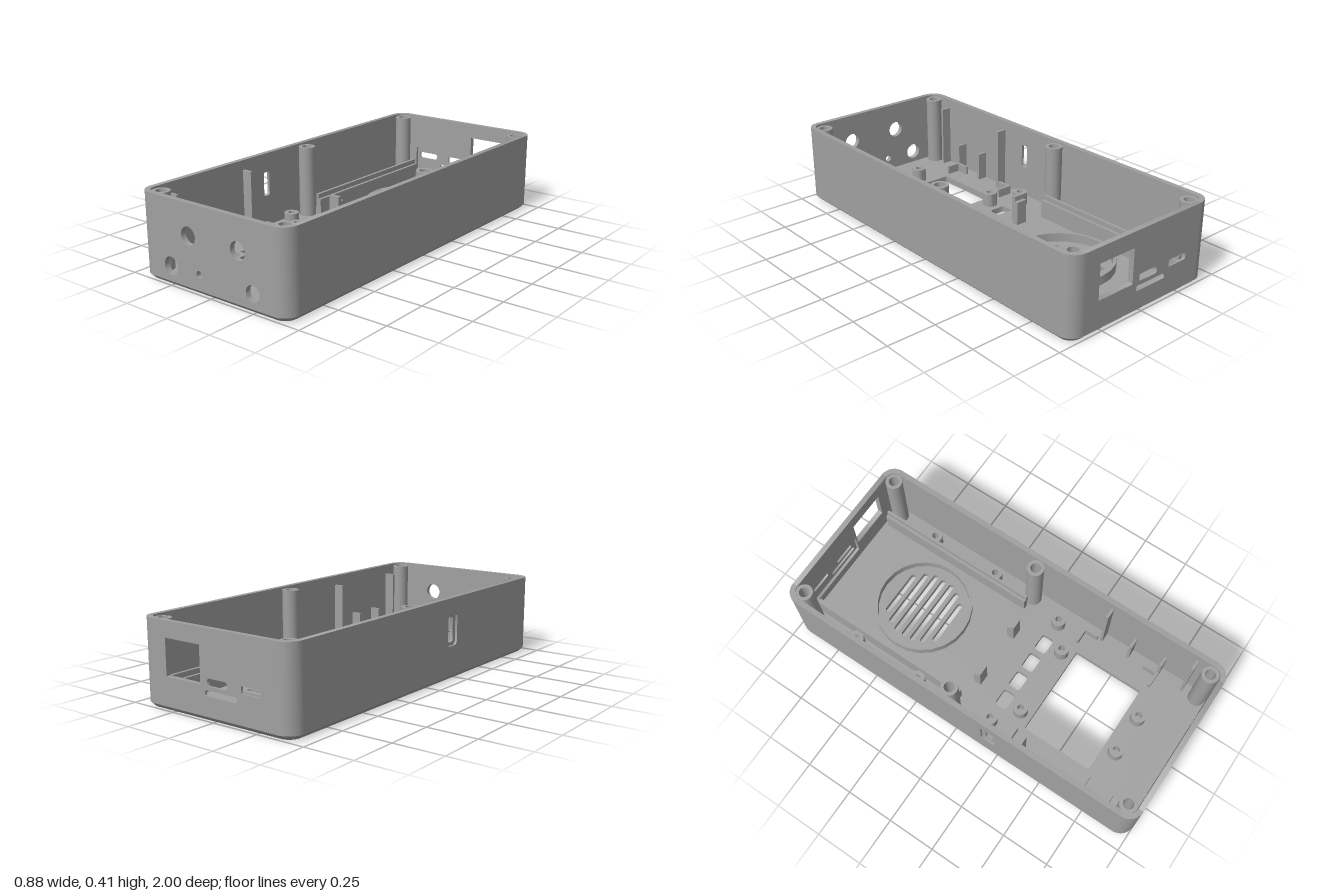
import * as THREE from 'three';
import { toCreasedNormals } from 'three/addons/utils/BufferGeometryUtils.js';

const W = 0.44, L = 1, H = 0.41, R = 0.075, T = 0.027, CH = 0.02, FLOOR = 0.03;

export function createModel() {
  const model = new THREE.Group();
  model.name = 'enclosureHalf';
  const grey = new THREE.MeshStandardMaterial({ color: 0xa0a0a0 });
  grey.name = 'grey plastic';

  const add = (name, geo, x = 0, y = 0, z = 0) => {
    const mesh = new THREE.Mesh(geo, grey);
    mesh.name = name;
    mesh.position.set(x, y, z);
    model.add(mesh);
    return mesh;
  };
  const box = (name, x0, x1, y0, y1, z0, z1) =>
    add(name, new THREE.BoxGeometry(Math.abs(x1 - x0), y1 - y0, z1 - z0),
      (x0 + x1) / 2, (y0 + y1) / 2, (z0 + z1) / 2);

  // Rounded rectangle centred on (cx, cy)
  const rounded = (cx, cy, w, h, r, Kind = THREE.Path) => {
    const p = new Kind(), a = w / 2 - r, b = h / 2 - r, q = Math.PI / 2;
    p.moveTo(cx + a + r, cy - b);
    [[1, 1], [-1, 1], [-1, -1], [1, -1]].forEach(([sx, sy], i) =>
      p.absarc(cx + sx * a, cy + sy * b, r, i * q, (i + 1) * q, false));
    p.closePath();
    return p;
  };
  const circle = (x, y, r, Kind = THREE.Path) => new Kind().absarc(x, y, r, 0, Math.PI * 2, false);
  const extrude = (shape, depth) => toCreasedNormals(
    new THREE.ExtrudeGeometry(shape, { depth, bevelEnabled: false, curveSegments: 12 }), 0.6);
  // Extrude a plan (x, -z) upwards
  const extrudeUp = (shape, height) => extrude(shape, height).rotateX(-Math.PI / 2);

  // Floor with window, button and speaker openings
  const floor = rounded(0, 0, 2 * (W - CH), 2 * (L - CH), R - CH, THREE.Shape);
  floor.holes.push(rounded(-0.005, -0.48, 0.49, 0.38, 0.008));
  for (const x of [-0.18, -0.06, 0.06, 0.18]) floor.holes.push(rounded(x, -0.125, 0.092, 0.066, 0.015));
  [0.125, 0.165, 0.188, 0.188, 0.188, 0.165, 0.125].forEach((half, i) =>
    floor.holes.push(rounded(0, 0.66 - i * 0.05, half * 2, 0.028, 0.0139)));
  add('floor', extrudeUp(floor, FLOOR));

  // Chamfer between floor edge and walls
  const low = rounded(0, 0, 2 * (W - CH), 2 * (L - CH), R - CH).getPoints(10);
  const high = rounded(0, 0, 2 * W, 2 * L, R).getPoints(10);
  const pos = [], index = [];
  low.forEach((p, i) => pos.push(p.x, 0, -p.y, high[i].x, CH, -high[i].y));
  for (let i = 0; i < low.length - 1; i++) {
    const a = 2 * i;
    index.push(a, a + 2, a + 1, a + 1, a + 2, a + 3);
  }
  const chamfer = new THREE.BufferGeometry();
  chamfer.setAttribute('position', new THREE.Float32BufferAttribute(pos, 3));
  chamfer.setIndex(index);
  add('bottomChamfer', toCreasedNormals(chamfer, 0.6));

  // Flat wall layer in (along, y), extruded along z
  const wall = (half, depth, holes) => {
    const s = rounded(0, (H + CH) / 2, half * 2, H - CH, 0.0005, THREE.Shape);
    s.holes.push(...holes);
    return extrude(s, depth);
  };
  const endHalf = W - R, sideHalf = L - R, skin = 0.012;

  // Front wall with round sockets
  add('frontWall', wall(endHalf, T, [
    circle(-0.125, 0.26, 0.043), circle(0.17, 0.26, 0.043), circle(-0.243, 0.095, 0.043),
    circle(-0.066, 0.095, 0.018), circle(0.25, 0.09, 0.039),
  ]), 0, 0, L - T);

  // Back wall: thin outer skin with ports, inner layer with a recess
  const port = () => rounded(0.175, 0.245, 0.21, 0.175, 0.003);
  add('backWallOuter', wall(endHalf, skin, [
    port(), rounded(-0.03, 0.175, 0.115, 0.035, 0.012),
    rounded(-0.05, 0.125, 0.185, 0.026, 0.01), rounded(-0.225, 0.175, 0.115, 0.035, 0.008),
  ]), 0, 0, -L);
  add('backWallInner', wall(endHalf, T - skin, [
    port(), rounded(-0.119, 0.155, 0.362, 0.13, 0.003),
  ]), 0, 0, -L + skin);

  // Side walls; the -x one has a recessed switch slot
  const side = (name, x, depth, holes) =>
    add(name, wall(sideHalf, depth, holes).rotateY(-Math.PI / 2), x);
  side('plainSideWall', W, T, []);
  side('slottedSideWallInner', -W + T, T - skin, [rounded(0.2, 0.25, 0.04, 0.125, 0.008)]);
  side('slottedSideWallOuter', -W + skin, skin, [rounded(0.2, 0.25, 0.085, 0.16, 0.02)]);

  // Rounded wall corners
  [[1, 1], [-1, 1], [-1, -1], [1, -1]].forEach(([sx, sy], i) => {
    const s = new THREE.Shape(), a = i * Math.PI / 2, b = a + Math.PI / 2;
    s.absarc(sx * endHalf, sy * sideHalf, R, a, b, false);
    s.absarc(sx * endHalf, sy * sideHalf, R - T, b, a, true);
    s.closePath();
    add('wallCorner', extrudeUp(s, H - CH), 0, CH, 0);
  });

  // Hollow round columns and the speaker ring
  const tube = (name, x, z, r, hole, top) => {
    const s = circle(0, 0, r, THREE.Shape);
    s.holes.push(circle(0, 0, hole));
    add(name, extrudeUp(s, top - FLOOR), x, FLOOR, z);
  };
  tube('speakerRing', 0, -0.51, 0.255, 0.24, 0.075);

  for (const s of [-1, 1]) {
    for (const z of [-0.93, -0.065, 0.925]) tube('screwPost', s * 0.37, z, 0.043, 0.026, 0.4);
    for (const [x, z] of [[0.35, -0.68], [0.35, -0.295], [0.315, 0.125], [0.19, 0.225], [0.105, 0.735]])
      tube('screwBoss', s * x, z, 0.038, 0.017, 0.1);

    // Stepped board rail
    box('boardRail', s * 0.3, s * 0.315, FLOOR, 0.15, -0.955, -0.07);
    box('boardRailStep', s * 0.285, s * 0.3, FLOOR, 0.125, -0.955, -0.07);

    // Upright clip with a ledge
    const cx = s * 0.15 - 0.005;
    box('boardClip', cx - 0.03, cx + 0.03, FLOOR, 0.18, -0.042, -0.022);
    box('boardClipLedge', cx - 0.03, cx + 0.03, FLOOR, 0.155, -0.062, -0.042);

    // Corner brackets around the window
    for (const [z, d] of [[0.255, 1], [0.7, -1]]) {
      const span = (a, b) => [Math.min(z + d * a, z + d * b), Math.max(z + d * a, z + d * b)];
      box('bracketArm', s * 0.28, s * 0.365, FLOOR, 0.075, ...span(0, 0.014));
      box('bracketLeg', s * 0.351, s * 0.365, FLOOR, 0.075, ...span(0.014, 0.085));
    }

    // Wall ribs, alternately tall and short
    for (const [z, top] of [[0.36, 0.36], [0.52, 0.18], [0.695, 0.18], [0.84, 0.36]])
      box('wallRib', s * 0.36, s * (W - T + 0.005), FLOOR, top, z - 0.007, z + 0.007);
  }
  return model;
}
